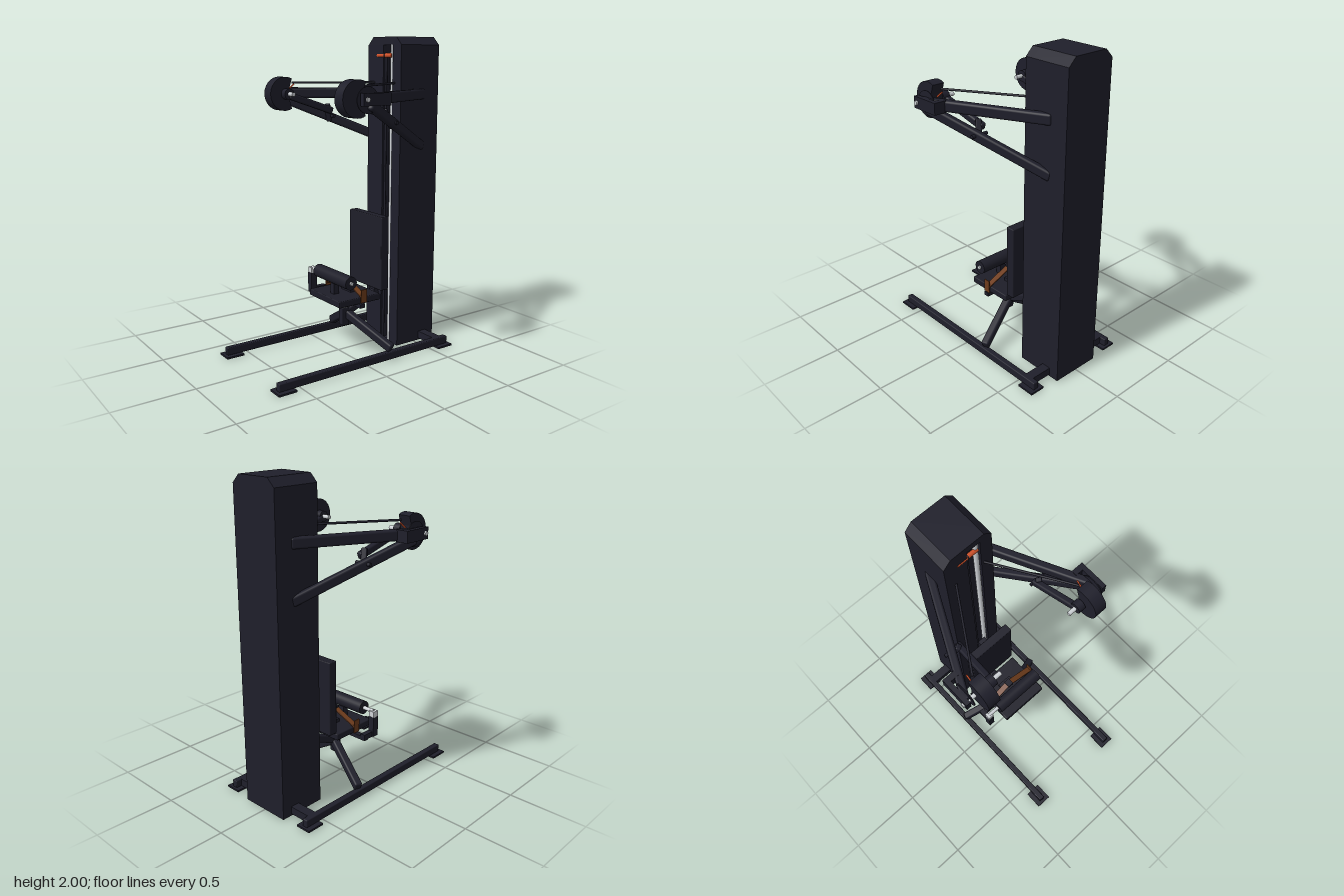
import * as THREE from 'three';
import { RoundedBoxGeometry } from 'three/addons/geometries/RoundedBoxGeometry.js';

const V = (x, y, z) => new THREE.Vector3(x, y, z);
const mat = (name, color) => {
  const m = new THREE.MeshStandardMaterial({ color });
  m.name = name;
  return m;
};

export function createModel() {
  const frame = mat('dark frame', 0x1f1f2b);
  const pad = mat('dark padding', 0x1e1e29);
  const chrome = mat('chrome', 0xd0d4d8);
  const orange = mat('orange grip', 0xd0522a);
  const leather = mat('brown leather', 0x6e3c1c);

  const root = new THREE.Group();
  root.name = 'exerciseMachine';

  const add = (name, geo, material, x = 0, y = 0, z = 0) => {
    const m = new THREE.Mesh(geo, material);
    m.name = name;
    m.position.set(x, y, z);
    root.add(m);
    return m;
  };
  // Box given by its minimum and maximum on each axis
  const box = (name, material, x0, x1, y0, y1, z0, z1, r = 0) => {
    const w = x1 - x0, h = y1 - y0, d = z1 - z0;
    const g = r ? new RoundedBoxGeometry(w, h, d, 2, r) : new THREE.BoxGeometry(w, h, d);
    return add(name, g, material, (x0 + x1) / 2, (y0 + y1) / 2, (z0 + z1) / 2);
  };
  // Rectangular tube between two points
  const beam = (name, material, a, b, w, h, r = 0.012) => {
    const m = add(name, new RoundedBoxGeometry(w, h, a.distanceTo(b), 2, r), material);
    m.position.copy(a).lerp(b, 0.5);
    m.lookAt(b);
    return m;
  };
  // Round bar between two points
  const rod = (name, material, a, b, r, seg = 20) => {
    const m = add(name, new THREE.CylinderGeometry(r, r, a.distanceTo(b), seg), material);
    m.position.copy(a).lerp(b, 0.5);
    m.quaternion.setFromUnitVectors(V(0, 1, 0), b.clone().sub(a).normalize());
    return m;
  };

  // Tower: housing with clipped top corners and a slotted front panel
  const outline = () => new THREE.Shape([
    [-0.165, 0], [0.165, 0], [0.165, 1.95], [0.115, 2], [-0.115, 2], [-0.165, 1.95],
  ].map(p => new THREE.Vector2(...p)));
  add('towerHousing', new THREE.ExtrudeGeometry(outline(), { depth: 0.255, bevelEnabled: false }), frame, 0, 0, -0.665);
  const panel = outline();
  panel.holes.push(new THREE.Path([[-0.01, 0.004], [-0.01, 1.95], [0.083, 1.95], [0.083, 0.004]]
    .map(p => new THREE.Vector2(...p))));
  add('towerFrontPanel', new THREE.ExtrudeGeometry(panel, { depth: 0.055, bevelEnabled: false }), frame, 0, 0, -0.41);
  rod('guideRod', chrome, V(0.064, 0.004, -0.374), V(0.064, 1.95, -0.374), 0.016);
  rod('liftCable', frame, V(0, 0.004, -0.37), V(0, 1.89, -0.37), 0.008, 10);

  // Pull bar at the top of the slot
  rod('pullBarGrip', orange, V(-0.075, 1.885, -0.365), V(0.07, 1.885, -0.365), 0.014);
  rod('pullBarCollar', frame, V(-0.003, 1.885, -0.365), V(0.003, 1.885, -0.365), 0.016);

  // Base: two floor rails, foot plates and a rear cross beam
  box('rearCrossBeam', frame, -0.32, 0.32, 0.012, 0.06, -0.6, -0.54);
  for (const s of [-1, 1]) {
    const x = s * 0.32;
    box('floorRail', frame, x - 0.019, x + 0.019, 0.01, 0.06, -0.64, 0.645, 0.006);
    box('frontFootPlate', frame, x - 0.05, x + 0.05, 0, 0.012, 0.545, 0.665);
    box('rearFootPlate', frame, x - 0.05, x + 0.05, 0, 0.012, -0.655, -0.54);
    beam('seatLeg', frame, V(0, 0.245, -0.06), V(s * 0.325, 0.075, -0.18), 0.05, 0.055);
  }

  // Seat support and seat
  box('postSleeve', frame, -0.025, 0.025, 0.165, 0.285, -0.07, -0.02, 0.006);
  box('seatPost', chrome, -0.02, 0.02, 0.27, 0.35, -0.064, -0.026);
  beam('backArm', frame, V(0, 0.24, -0.04), V(0, 0.355, -0.31), 0.05, 0.05);
  box('backUpright', frame, -0.028, 0.028, 0.36, 0.8, -0.325, -0.27);
  box('backPad', pad, -0.17, 0.17, 0.405, 0.885, -0.272, -0.212, 0.006);
  box('seatPad', pad, -0.17, 0.17, 0.35, 0.392, -0.205, 0.11, 0.006);
  box('seatBracket', frame, -0.05, 0.05, 0.335, 0.352, -0.1, 0.04);

  // Thigh roller held by an arm on the right side
  rod('thighRoller', pad, V(-0.18, 0.5, 0.03), V(0.18, 0.5, 0.03), 0.043, 28);
  rod('rollerAxle', chrome, V(-0.26, 0.5, 0.03), V(0.19, 0.5, 0.03), 0.012);
  box('rollerArmCap', chrome, -0.278, -0.238, 0.465, 0.505, 0.01, 0.05);
  box('rollerArm', frame, -0.278, -0.238, 0.335, 0.468, 0.008, 0.052);
  box('rollerArmElbow', frame, -0.27, -0.235, 0.335, 0.37, -0.065, 0.01);
  box('rollerCrossBar', frame, -0.27, 0.195, 0.33, 0.355, -0.065, -0.03);
  box('rollerStand', frame, -0.02, 0.02, 0.39, 0.47, 0.01, 0.05);

  // Leather strap arched over the seat, with a buckle and end rings
  for (const s of [-1, 1]) {
    beam('strap', leather, V(s * 0.195, 0.4, -0.056), V(0, 0.48, -0.056), 0.04, 0.008, 0.002);
    box('strapEnd', leather, s * 0.195 - 0.003, s * 0.195 + 0.003, 0.365, 0.45, -0.08, -0.035);
  }
  box('strapBuckle', frame, -0.02, 0.02, 0.465, 0.488, -0.079, -0.033);
  box('strapHook', frame, -0.05, 0.05, 0.39, 0.415, -0.11, -0.06);

  // Disc cut off at the back, lying in the y-z plane
  const camShape = new THREE.Shape();
  camShape.absarc(0, 0, 0.107, -2.05, 2.05, false);
  camShape.lineTo(-0.03, 0.035);
  camShape.lineTo(-0.03, -0.035);
  const camGeo = new THREE.ExtrudeGeometry(camShape, { depth: 0.08, bevelEnabled: false, curveSegments: 36 });
  camGeo.translate(0, 0, -0.04).rotateY(-Math.PI / 2);

  // Press arms, one on each side
  for (const s of [-1, 1]) {
    const P = (x, y, z) => V(s * x, y, z);
    const sideBox = (name, m, x0, x1, ...yz) =>
      s > 0 ? box(name, m, x0, x1, ...yz) : box(name, m, -x1, -x0, ...yz);
    beam('upperArm', frame, P(0.145, 1.645, -0.545), P(0.49, 1.645, 0.16), 0.05, 0.066, 0.014);
    beam('lowerBrace', frame, P(0.145, 1.315, -0.545), P(0.472, 1.615, 0.12), 0.045, 0.06, 0.014);
    rod('pulleyCable', frame, P(0.1, 1.715, -0.358), P(0.385, 1.715, 0.1), 0.007, 10);

    // Cam wheel on its axle
    add('camWheel', camGeo, frame, s * 0.39, 1.645, 0.167);
    rod('camAxle', chrome, P(0.25, 1.645, 0.165), P(0.52, 1.645, 0.165), 0.013);
    rod('axleCollar', frame, P(0.3, 1.645, 0.165), P(0.345, 1.645, 0.165), 0.035);
    rod('stopDisc', frame, P(0.462, 1.64, 0.13), P(0.468, 1.64, 0.13), 0.075, 28);

    // Bracket around the end of the arm
    sideBox('bracketBack', frame, 0.43, 0.51, 1.61, 1.68, 0, 0.035);
    sideBox('bracketSide', frame, 0.48, 0.51, 1.61, 1.68, 0.03, 0.19);
    rod('cableClip', orange, P(0.402, 1.67, 0.115), P(0.402, 1.705, 0.07), 0.005, 10);

    // Swinging lever with its hand bar
    beam('lever', frame, P(0.315, 1.635, 0.16), P(0.288, 1.53, -0.15), 0.04, 0.045);
    beam('leverDrop', frame, P(0.3, 1.575, -0.12), P(0.325, 1.46, -0.155), 0.035, 0.03, 0.008);
    rod('leverHandBar', frame, P(0.27, 1.495, -0.155), P(0.38, 1.495, -0.155), 0.011, 14);
  }
  return root;
}
